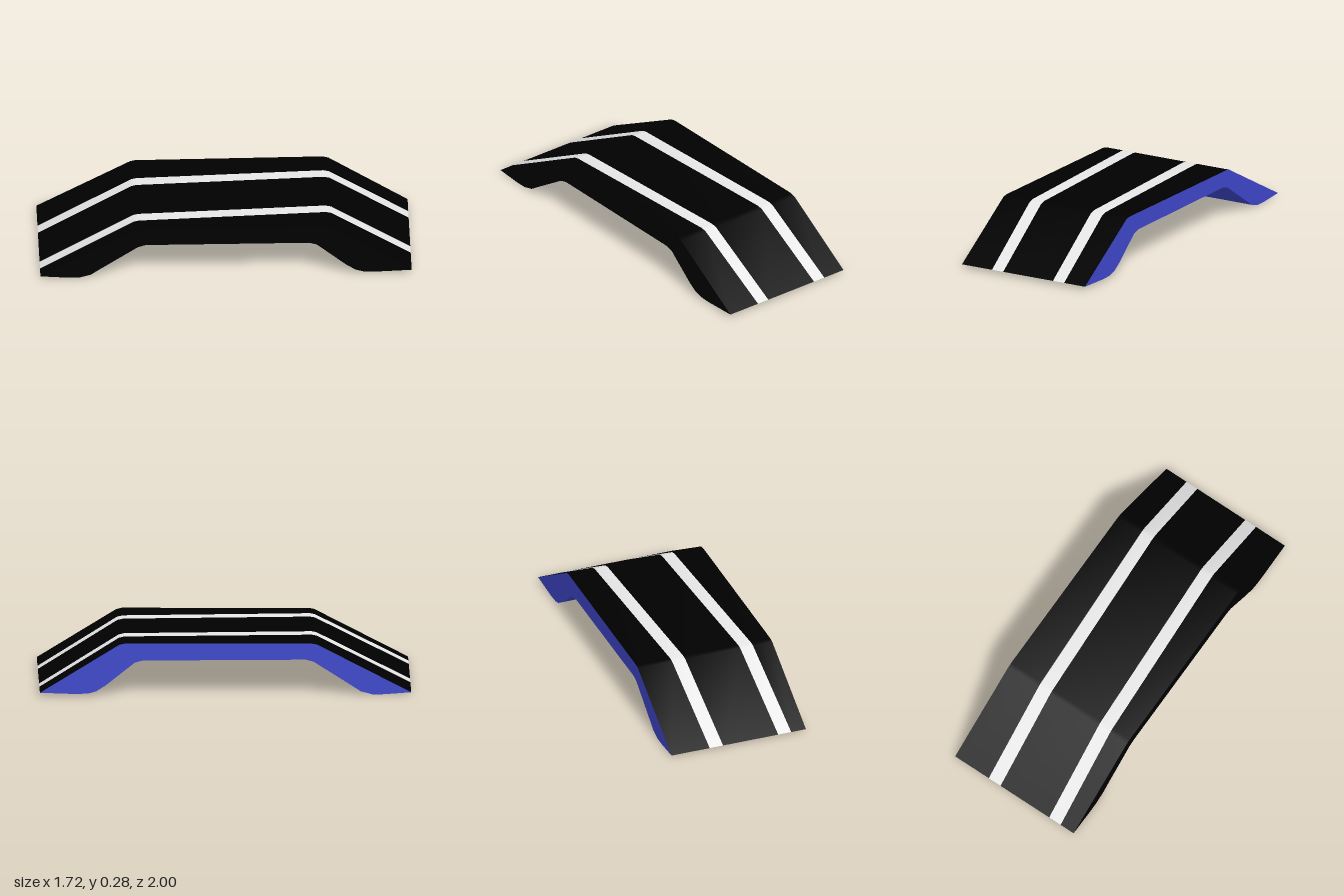
import * as THREE from 'three';
import { toCreasedNormals } from 'three/addons/utils/BufferGeometryUtils.js';

const HALF_WIDTH = 0.3725;
const HALF_LENGTH = 0.961;

// Side profile as [along, height]: deck left to right, then underside right to left
const DECK = [
  [-HALF_LENGTH, 0.01], [-0.475, 0.267], [-0.45, 0.272],
  [0.52, 0.279], [0.55, 0.272], [HALF_LENGTH, 0.018],
];
const UNDERSIDE = [
  [HALF_LENGTH, 0.018], [0.77, 0.01], [0.71, 0.013], [0.67, 0.024], [0.62, 0.056],
  [0.47, 0.176], [0.43, 0.187],
  [-0.415, 0.187], [-0.455, 0.176], [-0.66, 0.043], [-0.7, 0.016], [-0.76, 0],
  [-0.82, 0], [-HALF_LENGTH, 0.01],
];

function makeMaterial(name, color) {
  const material = new THREE.MeshStandardMaterial({ color });
  material.name = name;
  return material;
}

// Ribbon following a profile between two edges, each [z at left end, z at right end]
function ribbon(profile, near, far) {
  const edge = ([a, b], x) => THREE.MathUtils.mapLinear(x, -HALF_LENGTH, HALF_LENGTH, a, b);
  const positions = [];
  const index = [];
  profile.forEach(([x, y], i) => {
    positions.push(x, y, edge(near, x), x, y, edge(far, x));
    if (i === 0) return;
    const a = 2 * (i - 1);
    index.push(a, a + 1, a + 3, a, a + 3, a + 2);
  });
  const geometry = new THREE.BufferGeometry();
  geometry.setAttribute('position', new THREE.Float32BufferAttribute(positions, 3));
  geometry.setIndex(index);
  return toCreasedNormals(geometry, 0.45);
}

export function createModel() {
  const black = makeMaterial('black', 0x000000);
  const white = makeMaterial('stripe white', 0xe8e8e8);
  const blue = makeMaterial('blue', 0x3f48cc);

  const bridge = new THREE.Group();
  bridge.name = 'bridge';
  const add = (name, geometry, material) => {
    const mesh = new THREE.Mesh(geometry, material);
    mesh.name = name;
    bridge.add(mesh);
    return mesh;
  };

  // Deck lanes: black and white strips, the stripes drifting slightly across the deck
  const edges = [
    [-HALF_WIDTH, -HALF_WIDTH],
    [-0.161, -0.246], [-0.087, -0.178],
    [0.219, 0.123], [0.291, 0.191],
    [HALF_WIDTH, HALF_WIDTH],
  ];
  for (let i = 0; i < edges.length - 1; i++) {
    const isStripe = i % 2 === 1;
    add(isStripe ? 'deckStripe' : 'deckLane', ribbon(DECK, edges[i], edges[i + 1]), isStripe ? white : black);
  }

  // Arched underside with rounded feet
  add('underside', ribbon(UNDERSIDE, edges[0], edges[5]), blue);

  // Side walls, one black and one blue
  const outline = [...DECK, ...UNDERSIDE.slice(1, -1)].map(([x, y]) => new THREE.Vector2(x, y));
  add('frontWall', new THREE.ShapeGeometry(new THREE.Shape(outline)), black).position.z = HALF_WIDTH;
  const mirrored = outline.map((p) => new THREE.Vector2(-p.x, p.y));
  const backWall = add('backWall', new THREE.ShapeGeometry(new THREE.Shape(mirrored)), blue);
  backWall.rotation.y = Math.PI;
  backWall.position.z = -HALF_WIDTH;

  // The bridge stands diagonally
  bridge.rotation.y = 0.95;
  const model = new THREE.Group();
  model.name = 'rampBridge';
  model.add(bridge);
  return model;
}
